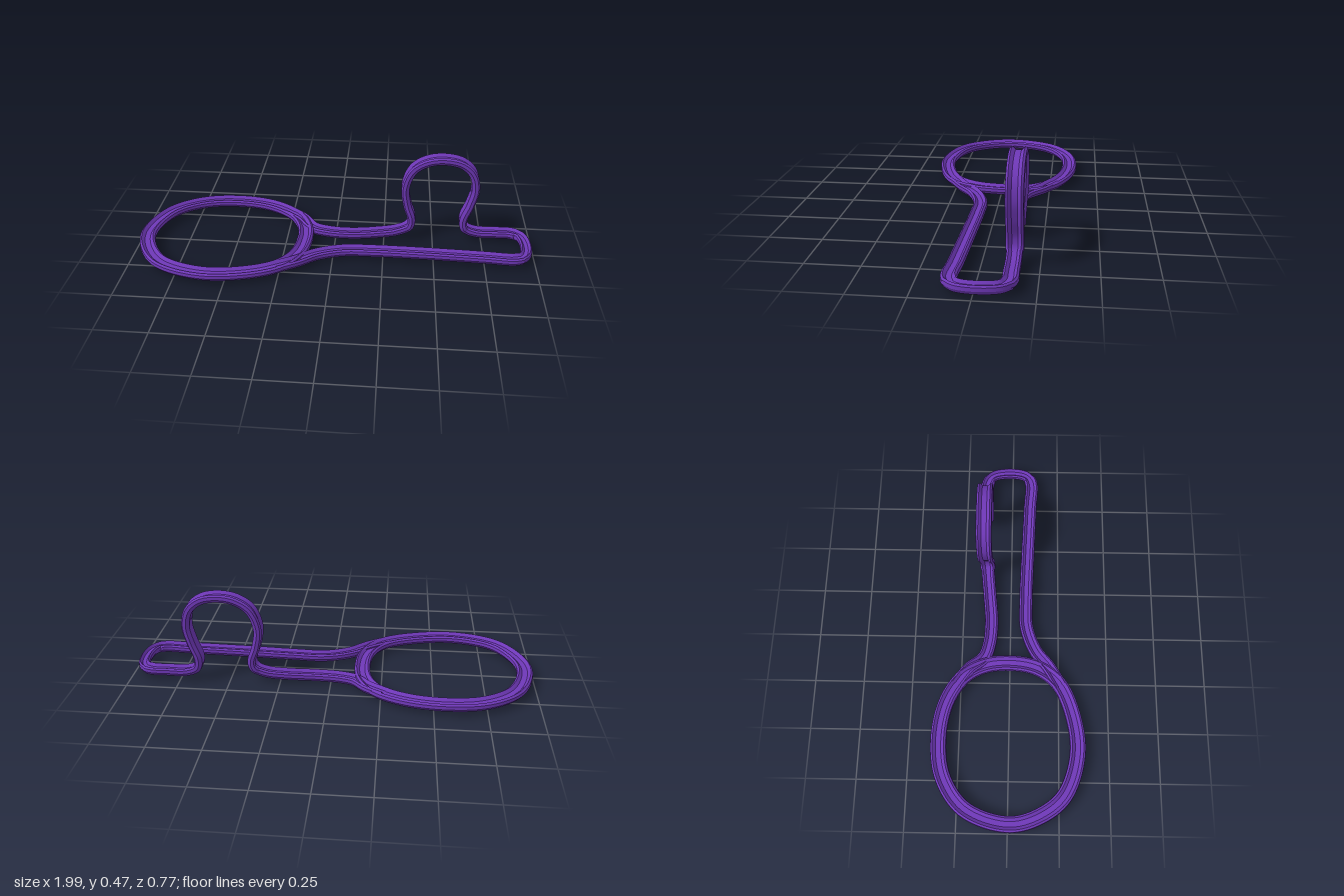
import * as THREE from 'three';
import { toCreasedNormals } from 'three/addons/utils/BufferGeometryUtils.js';

const V = (x, y, z) => new THREE.Vector3(x, y, z);
const UP = V(0, 1, 0);

// Band cross-section (across, outward) with a groove along its outer face
const PROFILE = [
  [-0.04, -0.004], [-0.028, -0.02], [0.028, -0.02], [0.04, -0.004], [0.038, 0.012],
  [0.028, 0.02], [0.013, 0.006], [-0.013, 0.006], [-0.028, 0.02], [-0.038, 0.012],
];

// Sweep the profile along a curve; sideAt gives the across direction, widthAt its scale
function sweep(curve, steps, closed, sideAt, widthAt) {
  const pos = [], index = [], n = PROFILE.length;
  const rings = closed ? steps : steps + 1;
  for (let i = 0; i < rings; i++) {
    const p = curve.getPointAt(i / steps), t = curve.getTangentAt(i / steps);
    const side = sideAt(p, t);
    const out = side.clone().cross(t).normalize();
    const w = widthAt(p);
    for (const [a, b] of PROFILE) {
      const v = p.clone().addScaledVector(side, a * w).addScaledVector(out, b);
      pos.push(v.x, v.y, v.z);
    }
  }
  for (let i = 0; i < steps; i++) {
    for (let j = 0; j < n; j++) {
      const a = i * n + j, b = i * n + (j + 1) % n;
      const c = ((i + 1) % rings) * n + j, d = ((i + 1) % rings) * n + (j + 1) % n;
      index.push(a, b, c, b, d, c);
    }
  }
  const g = new THREE.BufferGeometry();
  g.setAttribute('position', new THREE.Float32BufferAttribute(pos, 3));
  g.setIndex(index);
  return toCreasedNormals(g, 0.45);
}

const flatSide = (p, t) => t.clone().cross(UP).normalize();

export function createModel() {
  const group = new THREE.Group();
  const material = new THREE.MeshStandardMaterial({ color: 0x6f38b8, side: THREE.DoubleSide });
  const add = (name, geometry) => {
    const mesh = new THREE.Mesh(geometry, material);
    mesh.name = name;
    group.add(mesh);
  };

  // Rounded ring lying flat
  const ring = new THREE.CatmullRomCurve3([
    V(-0.15, 0.035, 0), V(-0.165, 0.03, -0.13), V(-0.225, 0.032, -0.235), V(-0.36, 0.038, -0.318),
    V(-0.55, 0.04, -0.35), V(-0.74, 0.04, -0.32), V(-0.89, 0.04, -0.21), V(-0.958, 0.04, 0),
    V(-0.92, 0.04, 0.15), V(-0.82, 0.04, 0.275), V(-0.61, 0.038, 0.342), V(-0.4, 0.036, 0.315),
    V(-0.25, 0.036, 0.245), V(-0.175, 0.036, 0.14),
  ], true);
  add('ring', sweep(ring, 110, true, flatSide, () => 1));

  // Handle: along the back, up over the arch, round the end and back along the front
  const handle = new THREE.CatmullRomCurve3([
    V(-0.27, 0.036, -0.27), V(-0.185, 0.032, -0.21), V(-0.12, 0.024, -0.135), V(-0.04, 0.022, -0.108),
    V(0.08, 0.022, -0.1), V(0.22, 0.029, -0.112), V(0.32, 0.043, -0.122),
    V(0.378, 0.072, -0.127), V(0.388, 0.115, -0.13), V(0.362, 0.2, -0.135), V(0.35, 0.295, -0.138),
    V(0.385, 0.39, -0.14), V(0.455, 0.438, -0.14), V(0.54, 0.451, -0.14), V(0.625, 0.433, -0.14),
    V(0.68, 0.383, -0.14), V(0.7, 0.3, -0.14), V(0.682, 0.21, -0.14), V(0.652, 0.115, -0.14),
    V(0.664, 0.066, -0.14), V(0.72, 0.042, -0.14),
    V(0.82, 0.04, -0.14), V(0.9, 0.04, -0.138), V(0.944, 0.04, -0.11), V(0.963, 0.04, -0.01),
    V(0.945, 0.04, 0.075), V(0.9, 0.04, 0.102), V(0.75, 0.04, 0.097),
    V(0.45, 0.04, 0.086), V(0.2, 0.037, 0.079), V(0.05, 0.034, 0.083), V(-0.08, 0.034, 0.13),
    V(-0.17, 0.036, 0.2), V(-0.27, 0.037, 0.26),
  ]);
  const acrossArch = (p, t) =>
    p.z < -0.1 && p.x > 0.3 && p.x < 0.78
      ? V(0, 0, 1).addScaledVector(t, -t.z).normalize()
      : flatSide(p, t);
  const width = (p) => (p.x > 0.93 ? 0.72 : p.y > 0.06 ? 1 : 0.88);
  add('handleWithArch', sweep(handle, 260, false, acrossArch, width));

  return group;
}
